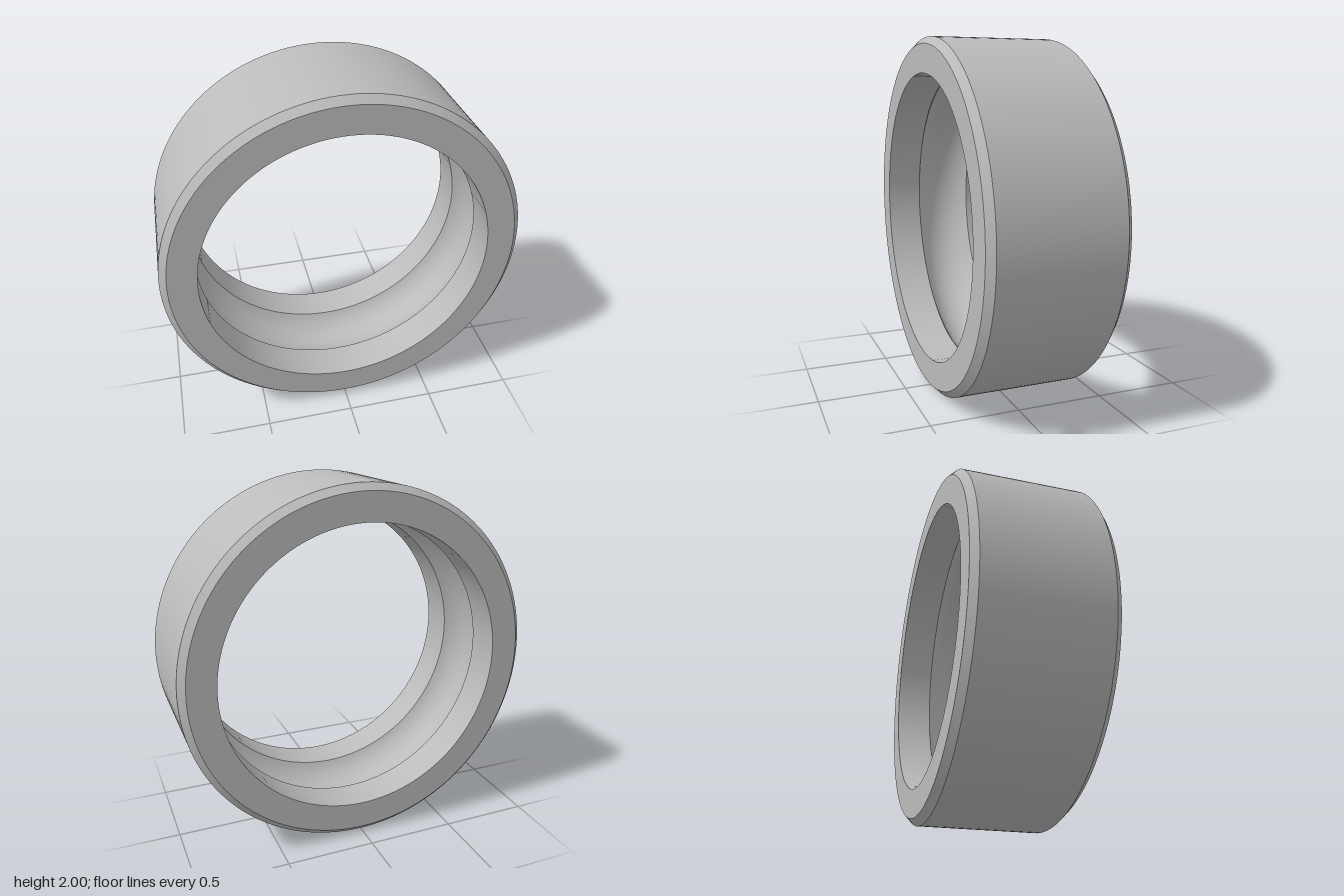
import * as THREE from 'three';

const OUTER = 1, BORE = 0.805, HALF = 0.375, CHAMFER = 0.038;
const GROOVE_HALF = 0.168, GROOVE_RADIUS = 0.185;

export function createModel() {
  const group = new THREE.Group();
  group.name = 'bearingOuterRing';
  const steel = new THREE.MeshStandardMaterial({ color: 0xbbbbbb });
  steel.name = 'steel grey';

  // Revolve one profile section [radius, z] around the z axis; separate sections keep edges sharp
  const revolve = (name, points) => {
    const profile = points.map(([r, z]) => new THREE.Vector2(r, z));
    const geometry = new THREE.LatheGeometry(profile, 144).rotateX(Math.PI / 2);
    const mesh = new THREE.Mesh(geometry, steel);
    mesh.name = name;
    mesh.position.y = OUTER;
    group.add(mesh);
  };

  const shoulder = HALF - CHAMFER, rim = OUTER - CHAMFER;

  // Outside: band between two chamfers
  revolve('backChamfer', [[rim, -HALF], [OUTER, -shoulder]]);
  revolve('outerBand', [[OUTER, -shoulder], [OUTER, shoulder]]);
  revolve('frontChamfer', [[OUTER, shoulder], [rim, HALF]]);

  // Flat annular ends
  revolve('frontFace', [[rim, HALF], [BORE, HALF]]);
  revolve('backFace', [[BORE, -HALF], [rim, -HALF]]);

  // Bore: two straight lands around the rounded ball groove
  revolve('frontLand', [[BORE, HALF], [BORE, GROOVE_HALF]]);
  revolve('backLand', [[BORE, -GROOVE_HALF], [BORE, -HALF]]);

  const sweep = Math.asin(GROOVE_HALF / GROOVE_RADIUS);
  const centre = BORE - GROOVE_RADIUS * Math.cos(sweep);
  const arc = [];
  for (let i = 0; i <= 24; i++) {
    const a = sweep * (1 - i / 12);
    arc.push([centre + GROOVE_RADIUS * Math.cos(a), GROOVE_RADIUS * Math.sin(a)]);
  }
  revolve('ballGroove', arc);

  return group;
}
